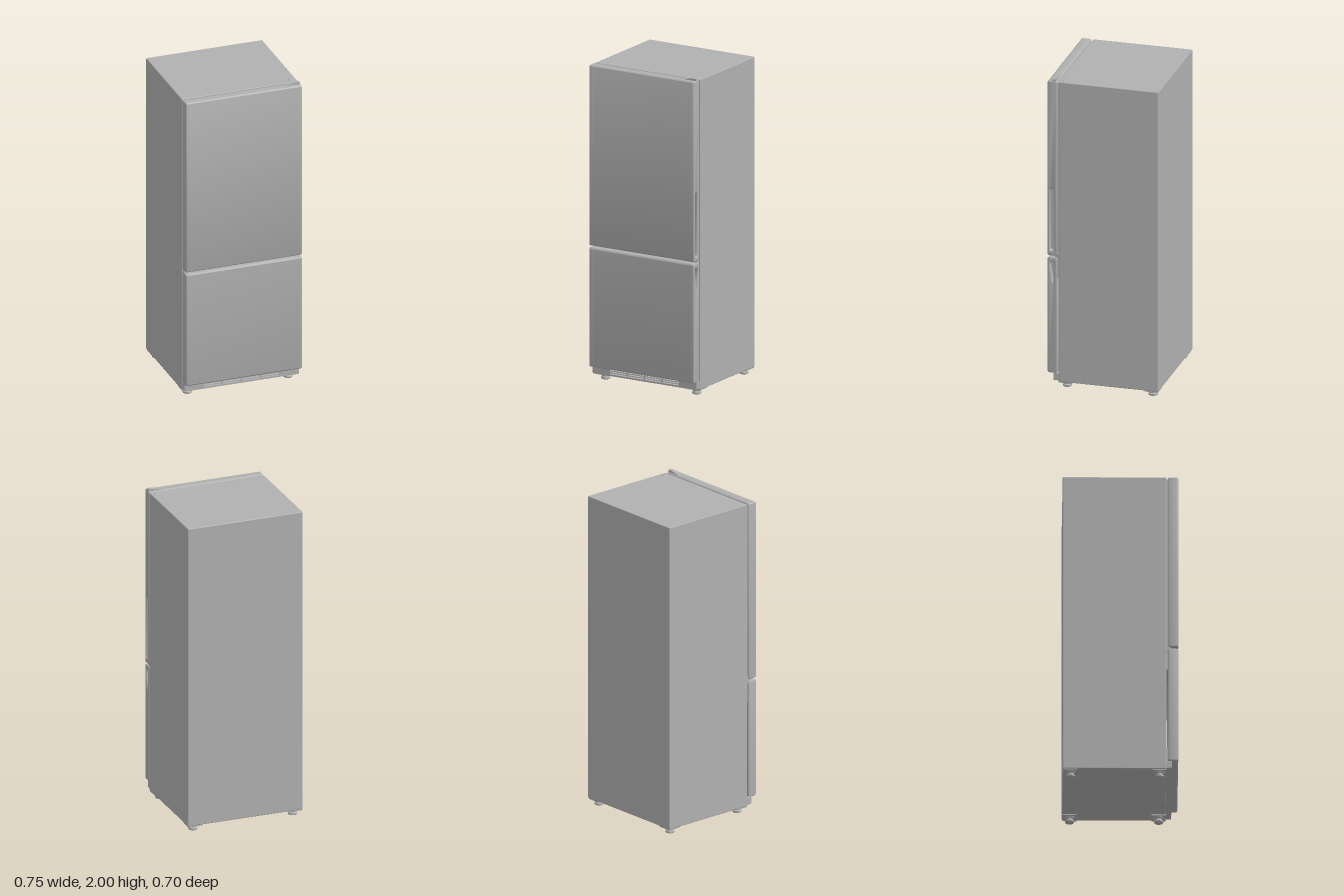
import * as THREE from 'three';
import { toCreasedNormals } from 'three/addons/utils/BufferGeometryUtils.js';
import { RoundedBoxGeometry } from 'three/addons/geometries/RoundedBoxGeometry.js';

const HALF = 0.375; // half width of cabinet and doors
const grey = new THREE.MeshStandardMaterial({ color: 0xb0b0b0 });
grey.name = 'cabinet grey';

function add(parent, name, geometry, x = 0, y = 0, z = 0) {
  const mesh = new THREE.Mesh(geometry, grey);
  mesh.name = name;
  mesh.position.set(x, y, z);
  parent.add(mesh);
  return mesh;
}

function roundedRect(Type, x0, x1, y0, y1, r) {
  const p = new Type();
  p.moveTo(x0 + r, y0);
  p.lineTo(x1 - r, y0);
  p.absarc(x1 - r, y0 + r, r, -Math.PI / 2, 0);
  p.lineTo(x1, y1 - r);
  p.absarc(x1 - r, y1 - r, r, 0, Math.PI / 2);
  p.lineTo(x0 + r, y1);
  p.absarc(x0 + r, y1 - r, r, Math.PI / 2, Math.PI);
  p.lineTo(x0, y0 + r);
  p.absarc(x0 + r, y0 + r, r, Math.PI, Math.PI * 1.5);
  return p;
}

// Sideways extrusion of a (-z, y) profile between two x positions
function extrudeAcross(shape, xa, xb, bevel = 0) {
  const g = new THREE.ExtrudeGeometry(shape, {
    depth: xb - xa - 2 * bevel, bevelEnabled: bevel > 0, bevelThickness: bevel,
    bevelSize: bevel, bevelOffset: -bevel, bevelSegments: 3, curveSegments: 6,
  });
  g.translate(0, 0, xa + bevel);
  g.rotateY(Math.PI / 2);
  return toCreasedNormals(g, 0.6);
}

// Door: core slab, rounded end caps, and a grip pocket cut into its left cap
function makeDoor(name, y0, y1, pocket) {
  const door = new THREE.Group();
  door.name = name;
  const profile = () => roundedRect(THREE.Shape, -0.35, -0.288, y0, y1, 0.012);
  add(door, 'doorPanel', extrudeAcross(profile(), -0.345, 0.345));
  add(door, 'hingeEdge', extrudeAcross(profile(), -HALF, -0.335, 0.008));
  const gripEdge = profile();
  gripEdge.holes.push(pocket);
  add(door, 'gripEdge', extrudeAcross(gripEdge, 0.335, HALF, 0.006));
  return door;
}

export function createModel() {
  const model = new THREE.Group();
  model.name = 'refrigerator';

  // Cabinet
  add(model, 'cabinet', new RoundedBoxGeometry(2 * HALF, 1.947, 0.628, 2, 0.005), 0, 1.0115, -0.036);
  add(model, 'topHingePin', new THREE.SphereGeometry(0.018, 16, 8, 0, Math.PI * 2, 0, Math.PI / 2), 0.34, 1.983, 0.245)
    .scale.y = 0.45;

  // Doors: long upper grip slot, tapered lower grip
  const slot = roundedRect(THREE.Path, -0.334, -0.311, 0.885, 1.285, 0.008);
  const taper = new THREE.Path();
  taper.moveTo(-0.331, 0.812);
  taper.lineTo(-0.311, 0.812);
  taper.quadraticCurveTo(-0.303, 0.80, -0.306, 0.77);
  taper.lineTo(-0.312, 0.69);
  taper.quadraticCurveTo(-0.316, 0.675, -0.32, 0.69);
  taper.lineTo(-0.333, 0.78);
  taper.quadraticCurveTo(-0.337, 0.80, -0.331, 0.812);
  model.add(makeDoor('upperDoor', 0.853, 1.987, slot));
  model.add(makeDoor('lowerDoor', 0.092, 0.842, taper));

  // Seals in the gap behind the doors
  add(model, 'upperSeal', new THREE.BoxGeometry(0.726, 1.11, 0.03), 0, 1.42, 0.283);
  add(model, 'lowerSeal', new THREE.BoxGeometry(0.726, 0.12, 0.03), 0, 0.765, 0.283);
  add(model, 'middleRail', new THREE.BoxGeometry(0.736, 0.05, 0.034), 0, 0.848, 0.287);
  add(model, 'lowerHinge', new THREE.BoxGeometry(0.7, 0.1, 0.03), 0, 0.14, 0.283);

  // Sloped hinge cover on top of the upper door
  const wedge = new THREE.Shape();
  wedge.moveTo(0.28, 1.98);
  wedge.lineTo(0.372, 1.98);
  wedge.lineTo(0.372, 1.998);
  wedge.quadraticCurveTo(0.37, 2, 0.366, 2);
  wedge.lineTo(0.34, 1.999);
  wedge.lineTo(0.28, 1.987);
  add(model, 'hingeCover', new THREE.ExtrudeGeometry(wedge, { depth: 0.026, bevelEnabled: false }), 0, 0, 0.296);

  // Plinth with ventilation slots
  const plinth = roundedRect(THREE.Shape, -0.37, 0.37, 0.043, 0.094, 0.006);
  for (let row = 0; row < 3; row++) {
    for (let col = 0; col < 4; col++) {
      const x = -0.247 + col * 0.125;
      const y = 0.054 + row * 0.012;
      plinth.holes.push(roundedRect(THREE.Path, x, x + 0.117, y, y + 0.007, 0.003));
    }
  }
  add(model, 'ventPlinth', new THREE.ExtrudeGeometry(plinth, { depth: 0.039, bevelEnabled: false, curveSegments: 3 }), 0, 0, 0.274);

  // Four levelling feet with mounting pads
  const footProfile = [[0, 0], [0.026, 0], [0.028, 0.003], [0.028, 0.012], [0.022, 0.016], [0.022, 0.024], [0.034, 0.027], [0.036, 0.042]]
    .map(([r, y]) => new THREE.Vector2(r, y));
  const footGeometry = toCreasedNormals(new THREE.LatheGeometry(footProfile, 24), 0.5);
  for (const x of [-0.325, 0.325]) {
    for (const z of [0.237, -0.303]) {
      add(model, 'foot', footGeometry, x, 0, z);
      add(model, 'footPad', new THREE.BoxGeometry(0.09, 0.012, 0.085), x, 0.037, z);
    }
  }
  return model;
}
